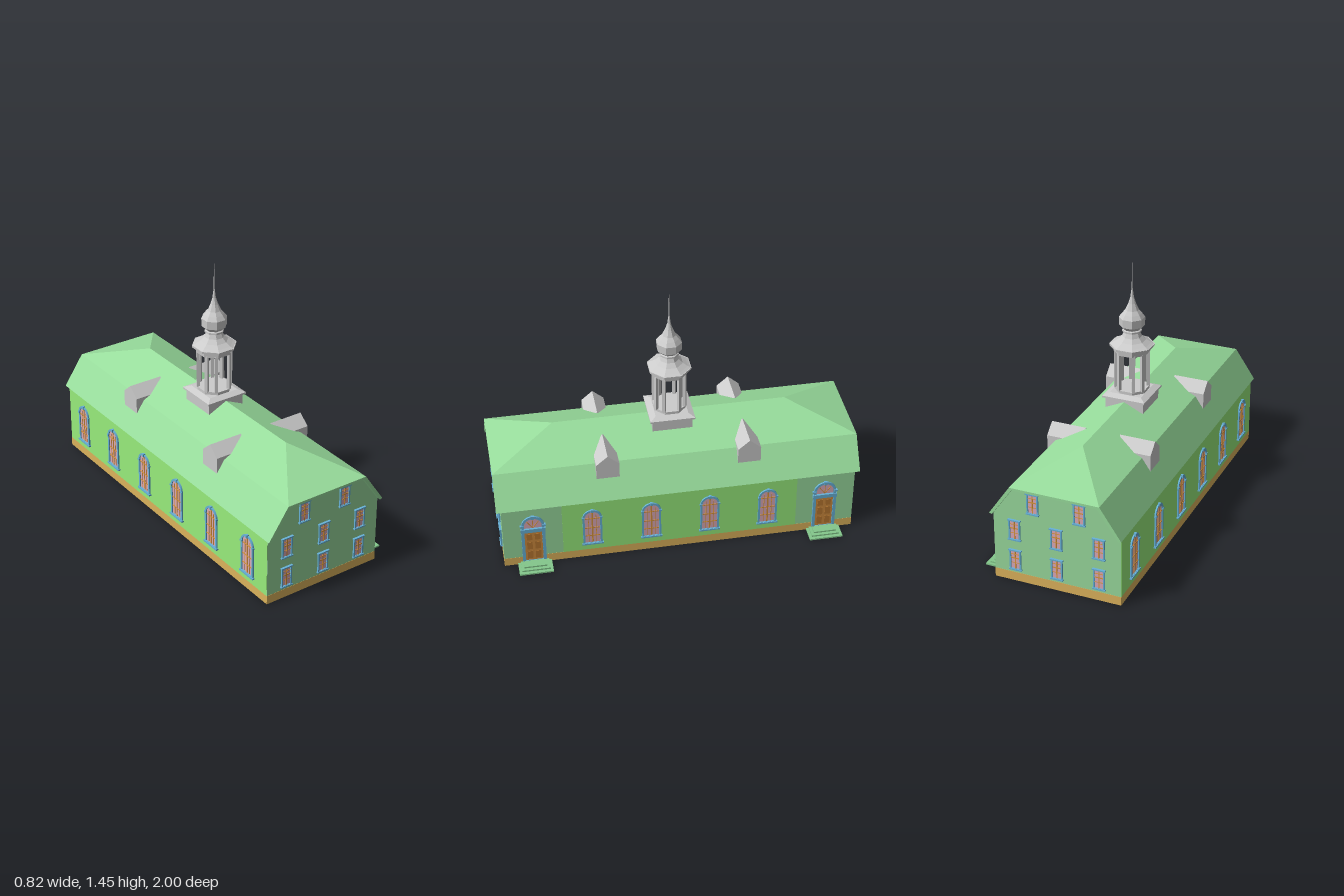
import * as THREE from 'three';
import { ConvexGeometry } from 'three/addons/geometries/ConvexGeometry.js';

const mat = (color, opts = {}) => new THREE.MeshStandardMaterial({ color, ...opts });
const M = {
  wall: mat(0x98d99c), lime: mat(0x98ec7c), roof: mat(0x98dd9c), plinth: mat(0xdcb35c),
  trim: mat(0x68b2d8), glass: mat(0xdcaab8), bar: mat(0xd8943c), door: mat(0xd08c3e),
  panel: mat(0xb87830), floor: mat(0x6fae78), step: mat(0x84c88c),
  grey: mat(0xcccccc, { flatShading: true }),
};

function add(parent, name, geo, material, x = 0, y = 0, z = 0) {
  const m = new THREE.Mesh(geo, material);
  m.name = name;
  m.position.set(x, y, z);
  parent.add(m);
  return m;
}
const box = (p, name, material, w, h, d, x, y, z) =>
  add(p, name, new THREE.BoxGeometry(w, h, d), material, x, y, z);
const poly = (pts) => new THREE.Shape(pts.map(([x, y]) => new THREE.Vector2(x, y)));
const extrude = (shape, depth) =>
  new THREE.ExtrudeGeometry(shape, { depth, bevelEnabled: false, curveSegments: 10 });

// Upright outline with a round head (r = half width); y0 is the sill, yTop the crown
function archPath(Kind, r, y0, yTop) {
  const s = new Kind();
  s.moveTo(-r, y0);
  s.lineTo(r, y0);
  s.lineTo(r, yTop - r);
  s.absarc(0, yTop - r, r, 0, Math.PI, false);
  s.lineTo(-r, y0);
  return s;
}
function archFrame(r, t, y0, yTop, inner) {
  const s = archPath(THREE.Shape, r, y0, yTop);
  s.holes.push(archPath(THREE.Path, r - t, inner, yTop - t));
  return extrude(s, 0.009);
}

// Openings are built facing +z with their base at y = 0
function rectWindow(w = 0.064, h = 0.12) {
  const g = new THREE.Group(), t = 0.008;
  g.name = 'sashWindow';
  const s = poly([[-w / 2, 0], [w / 2, 0], [w / 2, h], [-w / 2, h]]);
  s.holes.push(poly([[-w / 2 + t, t], [w / 2 - t, t], [w / 2 - t, h - t], [-w / 2 + t, h - t]]));
  add(g, 'windowFrame', extrude(s, 0.009), M.trim);
  box(g, 'glass', M.glass, w - t, h - t, 0.004, 0, h / 2, 0.001);
  box(g, 'mullion', M.bar, 0.006, h - 2 * t, 0.006, 0, h / 2, 0.003);
  for (const [f, b] of [[0.35, 0.003], [0.58, 0.006], [0.77, 0.003]])
    box(g, 'glazingBar', M.bar, w - 2 * t, b, 0.006, 0, h * f, 0.0025);
  box(g, 'sill', M.trim, w + 0.008, 0.007, 0.014, 0, 0.003, 0.006);
  box(g, 'lintel', M.trim, w + 0.008, 0.007, 0.014, 0, h - 0.003, 0.006);
  return g;
}

function archWindow() {
  const g = new THREE.Group(), r = 0.053, top = 0.24;
  g.name = 'archedWindow';
  add(g, 'windowFrame', archFrame(r, 0.011, 0, top, 0.01), M.trim);
  add(g, 'glass', extrude(archPath(THREE.Shape, r - 0.008, 0.004, top - 0.008), 0.003), M.glass);
  box(g, 'mullion', M.bar, 0.008, top - 0.025, 0.006, 0, top / 2, 0.003);
  for (const x of [-0.021, 0.021]) box(g, 'thinBar', M.bar, 0.003, 0.19, 0.005, x, 0.11, 0.003);
  for (const y of [0.06, 0.115, 0.18]) box(g, 'glazingBar', M.bar, 0.084, 0.005, 0.006, 0, y, 0.003);
  box(g, 'sill', M.trim, 0.118, 0.009, 0.014, 0, 0.004, 0.007);
  box(g, 'keystone', M.trim, 0.014, 0.018, 0.014, 0, top - 0.004, 0.007);
  for (const x of [-1, 1]) box(g, 'impost', M.trim, 0.015, 0.009, 0.013, x * 0.049, top - r, 0.006);
  return g;
}

function doorway() {
  const g = new THREE.Group(), r = 0.062, top = 0.31;
  g.name = 'doorway';
  add(g, 'doorFrame', archFrame(r, 0.014, 0, top, 0.002), M.trim);
  add(g, 'fanlightGlass', extrude(archPath(THREE.Shape, r - 0.01, 0.2, top - 0.01), 0.003), M.glass);
  box(g, 'door', M.door, 0.098, 0.2, 0.008, 0, 0.1, 0.001);
  for (const x of [-0.022, 0.022])
    for (const [y, h] of [[0.04, 0.05], [0.105, 0.05], [0.165, 0.04]])
      box(g, 'doorPanel', M.panel, 0.03, h, 0.004, x, y, 0.005);
  box(g, 'transom', M.trim, 0.135, 0.024, 0.015, 0, 0.216, 0.007);
  for (const x of [-1, 1]) {
    box(g, 'pilaster', M.trim, 0.016, 0.21, 0.012, x * 0.057, 0.105, 0.006);
    box(g, 'impost', M.trim, 0.02, 0.01, 0.015, x * 0.06, 0.248, 0.007);
    const b = box(g, 'fanlightBar', M.bar, 0.004, 0.05, 0.005, x * 0.018, 0.255, 0.003);
    b.rotation.z = -x * 0.6;
  }
  box(g, 'fanlightBar', M.bar, 0.004, 0.065, 0.005, 0, 0.262, 0.003);
  box(g, 'keystone', M.trim, 0.018, 0.02, 0.014, 0, top - 0.005, 0.007);
  return g;
}

// Puts an opening on a wall; turn is the wall's heading around y
function place(parent, part, turn, x, y, z) {
  part.rotation.y = turn;
  part.position.set(x, y, z);
  parent.add(part);
}

function buildTower(house) {
  const t = new THREE.Group();
  t.name = 'bellTower';
  house.add(t);
  const lathe = (name, pts) => {
    const k = 1 / Math.cos(Math.PI / 8);
    const geo = new THREE.LatheGeometry(pts.map(([r, y]) => new THREE.Vector2(r * k, y)), 8, Math.PI / 8);
    return add(t, name, geo, M.grey);
  };
  box(t, 'towerBase', M.grey, 0.22, 0.09, 0.22, 0, 0.645, 0);
  box(t, 'baseCornice', M.grey, 0.246, 0.01, 0.246, 0, 0.693, 0);
  const skirt = new THREE.CylinderGeometry(0.09 * Math.SQRT2, 0.123 * Math.SQRT2, 0.014, 4);
  add(t, 'baseSkirt', skirt.rotateY(Math.PI / 4), M.grey, 0, 0.705, 0);
  lathe('lanternFloor', [[0, 0.705], [0.087, 0.705], [0.087, 0.728], [0, 0.728]]);
  // Eight posts, in pairs on each side
  for (let i = 0; i < 4; i++)
    for (const s of [-1, 1]) {
      const a = i * Math.PI / 2 + s * 0.49;
      const p = box(t, 'lanternPost', M.grey, 0.017, 0.22, 0.017, 0.088 * Math.cos(a), 0.835, 0.088 * Math.sin(a));
      p.rotation.y = -a;
    }
  lathe('lanternCornice', [[0, 0.938], [0.092, 0.938], [0.094, 0.962], [0.112, 0.968], [0.113, 0.98], [0, 0.982]]);
  lathe('bellRoof', [[0.113, 0.978], [0.095, 0.988], [0.07, 1.004], [0.05, 1.026], [0.04, 1.05],
    [0.049, 1.053], [0.049, 1.063], [0.042, 1.067], [0.064, 1.09], [0.065, 1.136], [0.05, 1.158],
    [0.034, 1.178], [0.019, 1.215], [0.009, 1.25], [0.003, 1.3], [0, 1.302]]);
  add(t, 'spire', new THREE.CylinderGeometry(0.001, 0.003, 0.16, 6), M.grey, 0, 1.365, 0);
}

export function createModel() {
  const model = new THREE.Group();
  model.name = 'meetingHouse';
  const house = new THREE.Group();
  house.name = 'house';
  house.position.x = -0.04;
  model.add(house);

  // Walls, plinth and underside
  const W = 0.354, L = 0.975;
  const section = poly([[-W, 0.05], [W, 0.05], [W, 0.395], [0.242, 0.55], [-0.242, 0.55], [-W, 0.395]]);
  add(house, 'walls', extrude(section, 2 * L), M.wall, 0, 0, -L);
  box(house, 'plinth', M.plinth, 2 * W + 0.002, 0.05, 2 * L + 0.002, 0, 0.025, 0);
  box(house, 'underside', M.floor, 2 * W - 0.004, 0.002, 2 * L - 0.004, 0, 0.0005, 0);
  box(house, 'rightWallPanel', M.lime, 0.003, 0.335, 1.3, W, 0.2175, 0);
  box(house, 'leftWallPanel', M.lime, 0.003, 0.335, 2 * L - 0.004, -W, 0.2175, 0);

  // Steep lower slopes
  for (const s of [-1, 1]) {
    const pts = [[0.366, 0.39], [0.248, 0.562], [0.234, 0.55], [0.35, 0.386]].map(([x, y]) => [s * x, y]);
    add(house, 'lowerRoof', extrude(poly(pts), 2), M.roof, 0, 0, -1);
  }
  // Hipped upper roof
  const hull = [];
  for (const z of [-1, 1]) {
    for (const x of [-0.248, 0.248])
      hull.push(new THREE.Vector3(x, 0.562, z), new THREE.Vector3(x * 0.96, 0.549, z));
    hull.push(new THREE.Vector3(0, 0.677, z * 0.645));
  }
  add(house, 'upperRoof', new ConvexGeometry(hull), M.roof);

  // Gabled dormers
  for (const s of [-1, 1])
    for (const z of [-0.39, 0.385]) {
      const shape = poly([[-0.063, 0.48], [0.063, 0.48], [0.063, 0.582], [0, 0.637], [-0.063, 0.582]]);
      const d = add(house, 'dormer', extrude(shape, 0.198), M.grey, s * 0.098, 0, z);
      d.rotation.y = s * Math.PI / 2;
    }

  // End windows, alike on front and back
  for (const s of [1, -1]) {
    const turn = s > 0 ? 0 : Math.PI;
    for (const y of [0.068, 0.246])
      for (const x of [-0.235, 0, 0.235]) place(house, rectWindow(), turn, x, y, s * L);
    for (const x of [-0.129, 0.129]) place(house, rectWindow(), turn, x, 0.42, s * L);
  }

  // Long sides: arched windows, with doors and steps at the ends of one side
  for (const z of [-0.487, -0.162, 0.162, 0.487]) {
    place(house, archWindow(), Math.PI / 2, W + 0.001, 0.092, z);
    place(house, archWindow(), -Math.PI / 2, -W - 0.001, 0.092, z);
  }
  for (const z of [-0.81, 0.81]) {
    place(house, archWindow(), -Math.PI / 2, -W - 0.001, 0.092, z);
    place(house, doorway(), Math.PI / 2, W + 0.001, 0.026, z);
    for (let i = 0; i < 3; i++) {
      const reach = 0.096 - i * 0.018;
      box(house, 'step', M.step, reach, 0.009, 0.186 - i * 0.03, W + reach / 2, 0.0045 + i * 0.009, z);
    }
  }

  buildTower(house);
  return model;
}
